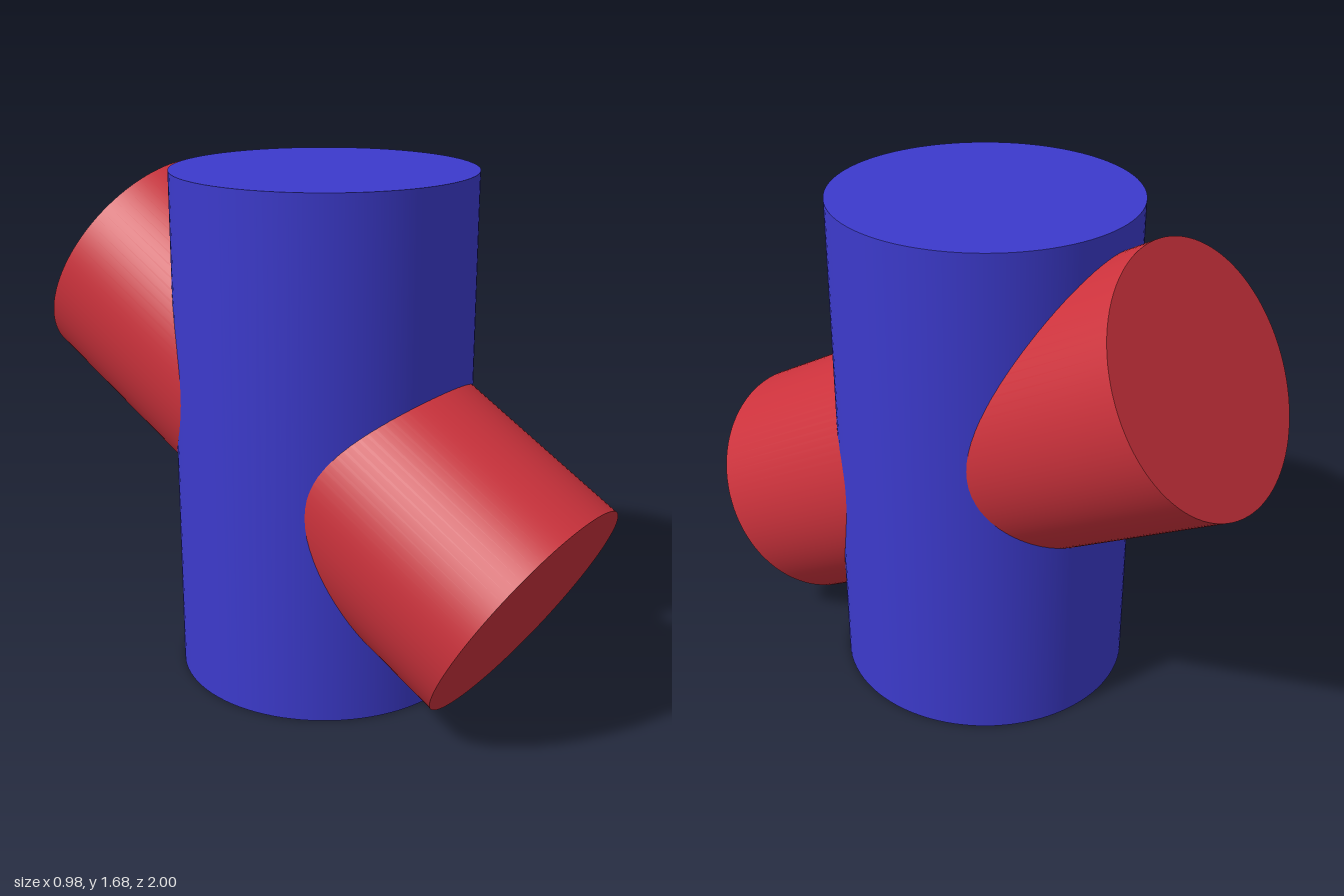
import * as THREE from 'three';

export function createModel() {
  const blue = new THREE.MeshStandardMaterial({ color: 0x3c3acc });
  blue.name = 'blue';
  const red = new THREE.MeshStandardMaterial({ color: 0xcc323c });
  red.name = 'red';

  const model = new THREE.Group();
  model.name = 'crossedCylinders';

  const addCylinder = (name, radius, length, material, tilt) => {
    const mesh = new THREE.Mesh(new THREE.CylinderGeometry(radius, radius, length, 96), material);
    mesh.name = name;
    mesh.position.y = 0.84;
    mesh.rotation.x = tilt;
    model.add(mesh);
  };

  // Upright main cylinder
  addCylinder('mainCylinder', 0.488, 1.68, blue, 0);
  // Slanted cylinder through its middle, low at the front and high at the back
  addCylinder('crossCylinder', 0.418, 1.825, red, -Math.PI / 3);

  return model;
}
